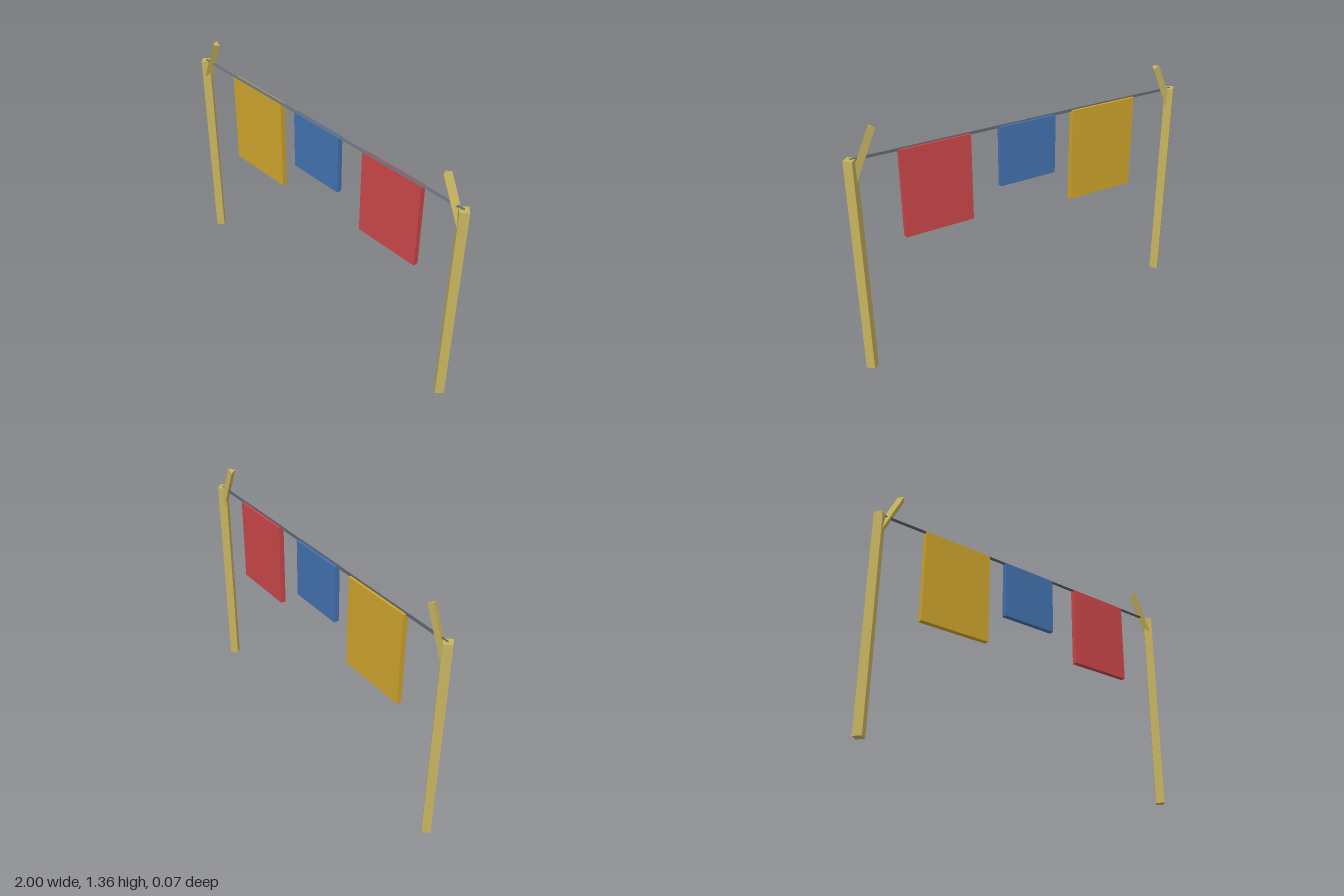
import * as THREE from 'three';

const mat = (name, color) => {
  const m = new THREE.MeshStandardMaterial({ color, flatShading: true });
  m.name = name;
  return m;
};

export function createModel() {
  const group = new THREE.Group();
  const wood = mat('wood', 0xc6b35f);
  const ropeGrey = mat('ropeGrey', 0x5f6873);
  const gold = mat('gold', 0xcca32c);
  const blue = mat('blue', 0x4271ae);
  const red = mat('red', 0xc94648);

  const add = (name, geometry, material, x, y, z = 0) => {
    const mesh = new THREE.Mesh(geometry, material);
    mesh.name = name;
    mesh.position.set(x, y, z);
    group.add(mesh);
    return mesh;
  };

  const postX = 0.966, postTop = 1.21, ropeY = 1.208;

  // Diamond-section posts, each with a three-sided pole leaning inward
  const postGeo = new THREE.CylinderGeometry(0.034, 0.034, postTop, 4);
  const poleGeo = new THREE.CylinderGeometry(0.024, 0.024, 0.282, 3);
  for (const [side, s] of [['left', 1], ['right', -1]]) {
    add(side + 'Post', postGeo, wood, s * postX, postTop / 2);
    add(side + 'LeaningPole', poleGeo, wood, s * 0.906, 1.2245).rotation.z = s * 0.423;
  }

  // Rope stretched between the posts
  const ropeGeo = new THREE.CylinderGeometry(0.009, 0.009, postX * 2, 3);
  add('rope', ropeGeo, ropeGrey, 0, ropeY).rotation.z = Math.PI / 2;

  // Hanging cloths: name, material, x from, x to, bottom edge
  const cloths = [
    ['goldCloth', gold, -0.692, -0.281, 0.677],
    ['blueCloth', blue, -0.171, 0.167, 0.873],
    ['redCloth', red, 0.336, 0.722, 0.727],
  ];
  for (const [name, material, x0, x1, bottom] of cloths) {
    const geo = new THREE.BoxGeometry(x1 - x0, ropeY - bottom, 0.029);
    add(name, geo, material, (x0 + x1) / 2, (ropeY + bottom) / 2, -0.004);
  }
  return group;
}
